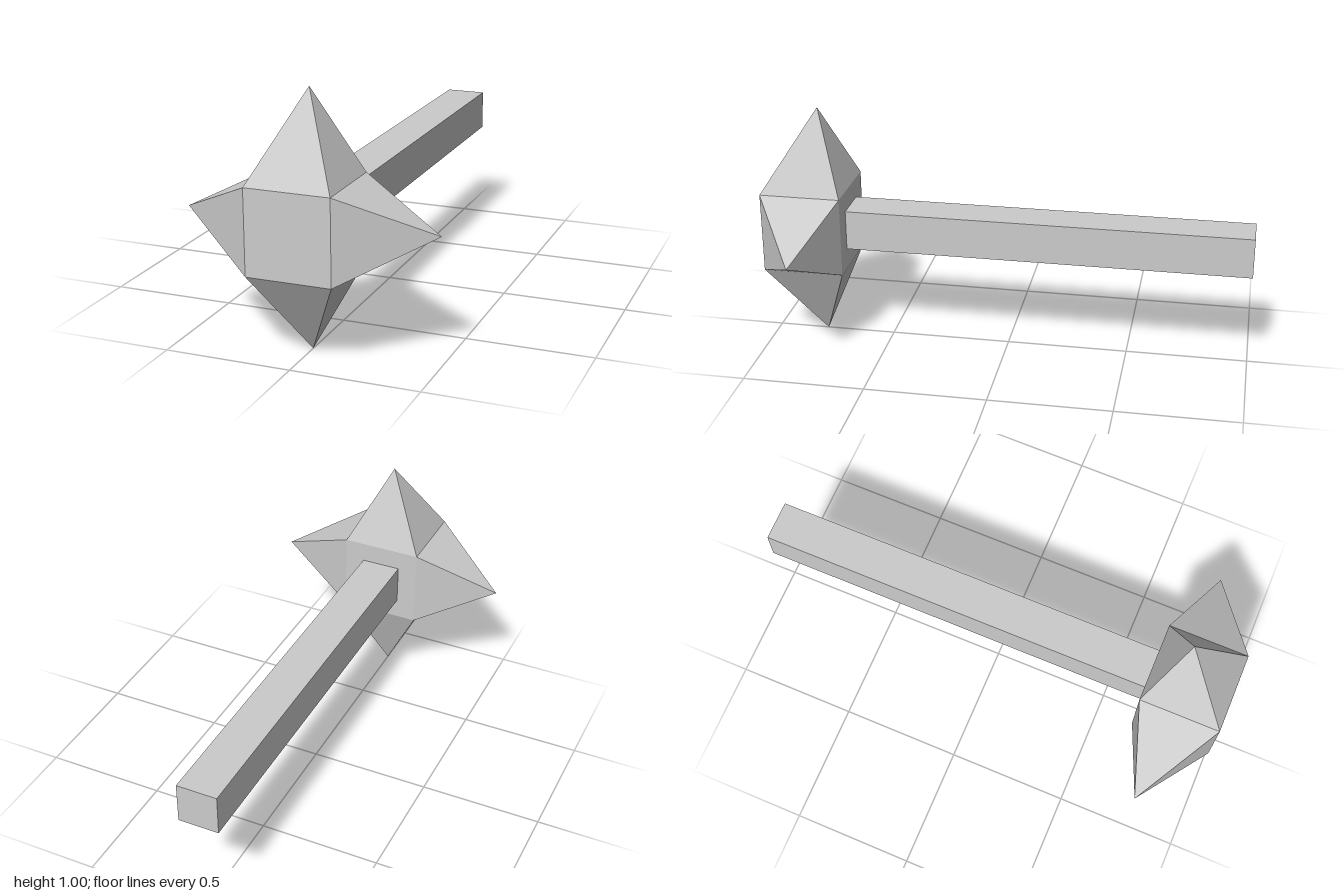
import * as THREE from 'three';

const HALF = 1 / 6;      // half the width of the head block
const CENTRE_Z = 5 / 6;  // middle of the head block
const TIP_Z = 0.79;      // the spike tips lean slightly back

const material = new THREE.MeshStandardMaterial({ color: 0xcccccc, flatShading: true });

function addMesh(parent, name, geometry) {
  const mesh = new THREE.Mesh(geometry, material);
  mesh.name = name;
  parent.add(mesh);
  return mesh;
}

// Four-sided pyramid standing on the top of the block, with its tip moved back
function spikeGeometry() {
  const height = 0.5 - HALF;
  const geometry = new THREE.ConeGeometry(HALF * Math.SQRT2, height, 4, 1, true);
  geometry.rotateY(Math.PI / 4).translate(0, HALF + height / 2, 0);
  const p = geometry.attributes.position;
  for (let i = 0; i < p.count; i++) {
    if (p.getY(i) > 0.4) p.setZ(i, TIP_Z - CENTRE_Z);
  }
  geometry.computeVertexNormals();
  return geometry;
}

export function createModel() {
  const model = new THREE.Group();
  model.name = 'spikedHammer';

  // Head: a cube with a spike on each of its four sides
  const head = new THREE.Group();
  head.name = 'head';
  head.position.set(0, 0.5, CENTRE_Z);
  model.add(head);
  addMesh(head, 'headBlock', new THREE.BoxGeometry(2 * HALF, 2 * HALF, 2 * HALF));

  const spike = spikeGeometry();
  ['topSpike', 'leftSpike', 'bottomSpike', 'rightSpike'].forEach((name, i) => {
    addMesh(head, name, spike).rotation.z = -i * Math.PI / 2;
  });

  // Square handle running back from the head
  const length = 1 + CENTRE_Z - HALF;
  const handle = addMesh(model, 'handle', new THREE.BoxGeometry(HALF, HALF, length));
  handle.position.set(0, 0.5, -1 + length / 2);

  return model;
}
